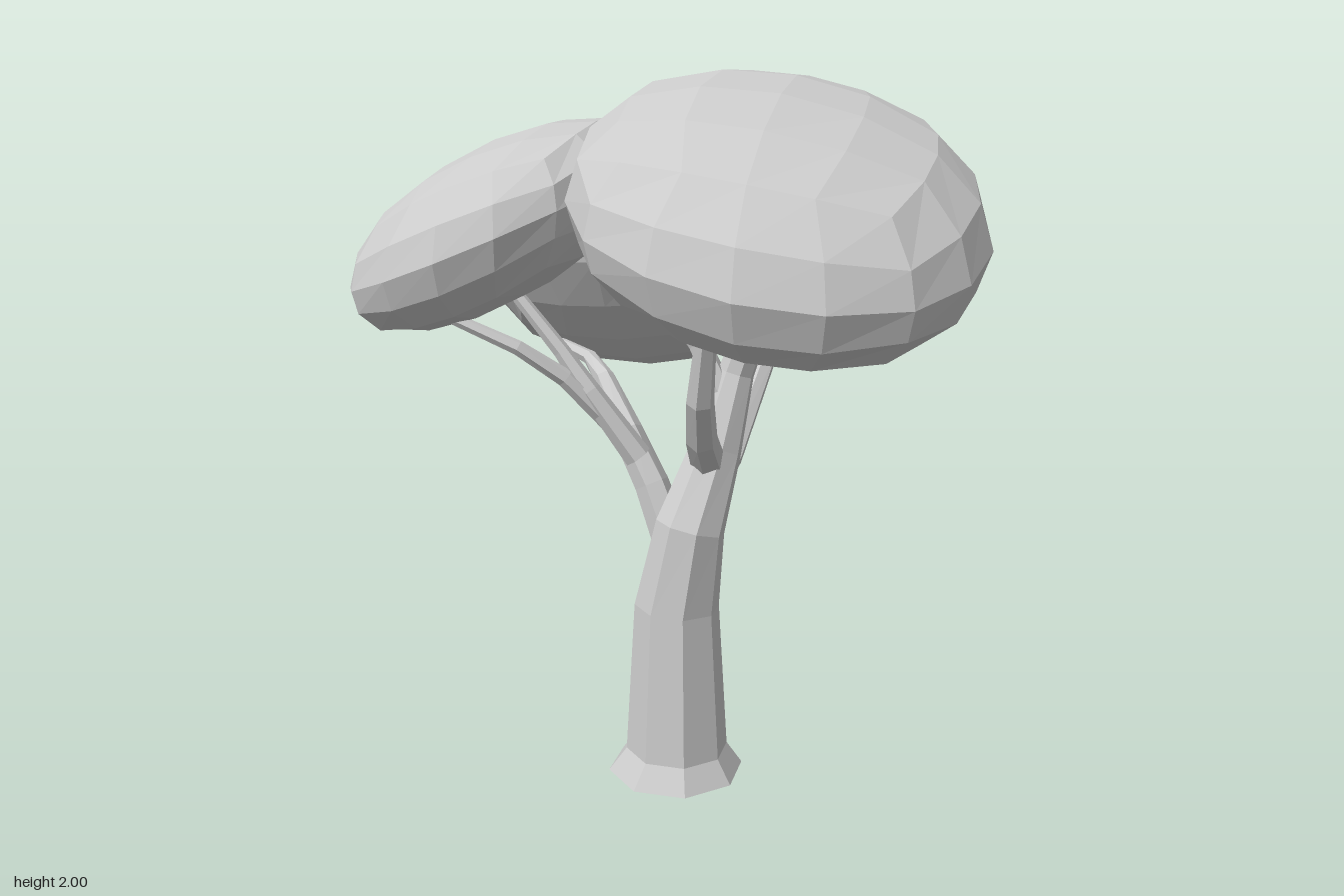
import * as THREE from 'three';
import { mergeVertices } from 'three/addons/utils/BufferGeometryUtils.js';

const material = new THREE.MeshStandardMaterial({
  color: 0xcccccc, flatShading: true, side: THREE.DoubleSide,
});

// Faceted limb through [x, y, z, radius] stations, closed at the tip
function limb(name, stations, sides) {
  const pts = stations.map(([x, y, z]) => new THREE.Vector3(x, y, z));
  const pos = [], index = [];
  const last = pts.length - 1;
  pts.forEach((p, i) => {
    const dir = pts[Math.min(i + 1, last)].clone().sub(pts[Math.max(i - 1, 0)]).normalize();
    if (i === 0 && name === 'trunk') dir.set(0, 1, 0);
    const right = new THREE.Vector3(0, 0, 1).cross(dir).negate().normalize();
    const front = right.clone().cross(dir).normalize();
    for (let k = 0; k < sides; k++) {
      const a = ((k + 0.5) / sides) * Math.PI * 2;
      const v = p.clone()
        .addScaledVector(right, Math.cos(a) * stations[i][3])
        .addScaledVector(front, Math.sin(a) * stations[i][3]);
      pos.push(v.x, v.y, v.z);
    }
  });
  for (let i = 0; i < last; i++) {
    for (let k = 0; k < sides; k++) {
      const a = i * sides + k, b = i * sides + (k + 1) % sides;
      index.push(a, a + sides, b, b, a + sides, b + sides);
    }
  }
  const tip = last * sides;
  for (let k = 1; k < sides - 1; k++) index.push(tip, tip + k + 1, tip + k);
  const geo = new THREE.BufferGeometry();
  geo.setAttribute('position', new THREE.Float32BufferAttribute(pos, 3));
  geo.setIndex(index);
  geo.computeVertexNormals();
  const mesh = new THREE.Mesh(geo, material);
  mesh.name = name;
  return mesh;
}

// Foliage clump: a cube rounded to a ball, stretched, then leaned by two slopes
function clump({ name, at, size, lean, cuts }) {
  let geo = new THREE.BoxGeometry(2, 2, 2, cuts, cuts, cuts);
  geo.deleteAttribute('normal');
  geo.deleteAttribute('uv');
  geo = mergeVertices(geo);
  const p = geo.attributes.position;
  const v = new THREE.Vector3();
  for (let i = 0; i < p.count; i++) {
    v.fromBufferAttribute(p, i);
    // Even angular spacing across each cube face
    v.set(...v.toArray().map((c) => Math.tan(c * Math.PI / 4))).normalize();
    // Slightly fuller towards the cube's edges and corners
    const widest = Math.max(...v.toArray().map(Math.abs));
    v.multiplyScalar(1 + 0.06 * (1 - widest * widest));
    p.setXYZ(i, v.x * size[0], v.y * size[1] + v.x * lean[0] + v.z * lean[1], v.z * size[2]);
  }
  geo.computeVertexNormals();
  const mesh = new THREE.Mesh(geo, material);
  mesh.name = name;
  mesh.position.set(...at);
  return mesh;
}

export function createModel() {
  const tree = new THREE.Group();
  tree.name = 'tree';

  // Trunk with flared foot
  tree.add(limb('trunk', [
    [0.055, 0, 0.13, 0.197], [0.06, 0.07, 0.135, 0.148], [0.058, 0.51, 0.13, 0.122],
    [0.098, 0.75, 0.135, 0.1], [0.152, 0.96, 0.055, 0.074],
    [0.195, 1.17, 0, 0.052], [0.29, 1.46, -0.015, 0.042],
  ], 8));

  // Branches
  const branches = {
    leftLimb: [[0.07, 0.62, 0.12, 0.06], [-0.03, 0.85, 0.08, 0.05], [-0.11, 0.99, 0.05, 0.045],
      [-0.21, 1.12, -0.05, 0.03], [-0.28, 1.16, -0.13, 0.022], [-0.4, 1.18, -0.22, 0.016]],
    leftUpperFork: [[-0.065, 0.93, 0.095, 0.04], [-0.2, 1.12, 0.12, 0.032],
      [-0.28, 1.23, 0.12, 0.024], [-0.44, 1.42, 0.12, 0.018]],
    leftOuterFork: [[-0.1, 0.98, 0.08, 0.035], [-0.26, 1.16, 0.15, 0.026],
      [-0.38, 1.25, 0.2, 0.021], [-0.56, 1.33, 0.23, 0.017]],
    frontBranch: [[0.14, 0.93, 0.1, 0.05], [0.15, 1.03, 0.22, 0.044],
      [0.17, 1.16, 0.32, 0.038], [0.2, 1.36, 0.38, 0.028]],
    innerBranch: [[0.17, 1.1, 0.03, 0.035], [0.09, 1.25, 0.01, 0.032], [-0.04, 1.43, 0, 0.028]],
    backBranch: [[0.11, 0.78, 0.1, 0.05], [0.17, 0.92, -0.03, 0.044],
      [0.23, 1.17, -0.25, 0.034], [0.27, 1.34, -0.33, 0.028], [0.32, 1.54, -0.38, 0.022]],
  };
  for (const [name, stations] of Object.entries(branches)) tree.add(limb(name, stations, 6));

  // Foliage clumps
  [
    { name: 'mainFoliage', at: [0.345, 1.655, 0.195], size: [0.545, 0.287, 0.555], lean: [-0.092, -0.155], cuts: 4 },
    { name: 'sideFoliage', at: [-0.49, 1.57, 0.05], size: [0.405, 0.235, 0.45], lean: [0.16, -0.05], cuts: 4 },
    { name: 'backFoliage', at: [-0.195, 1.42, -0.325], size: [0.465, 0.3, 0.425], lean: [0.03, 0.185], cuts: 4 },
    { name: 'smallFoliage', at: [0.38, 1.625, -0.48], size: [0.3, 0.155, 0.26], lean: [-0.05, 0.08], cuts: 3 },
  ].forEach((c) => tree.add(clump(c)));

  return tree;
}
